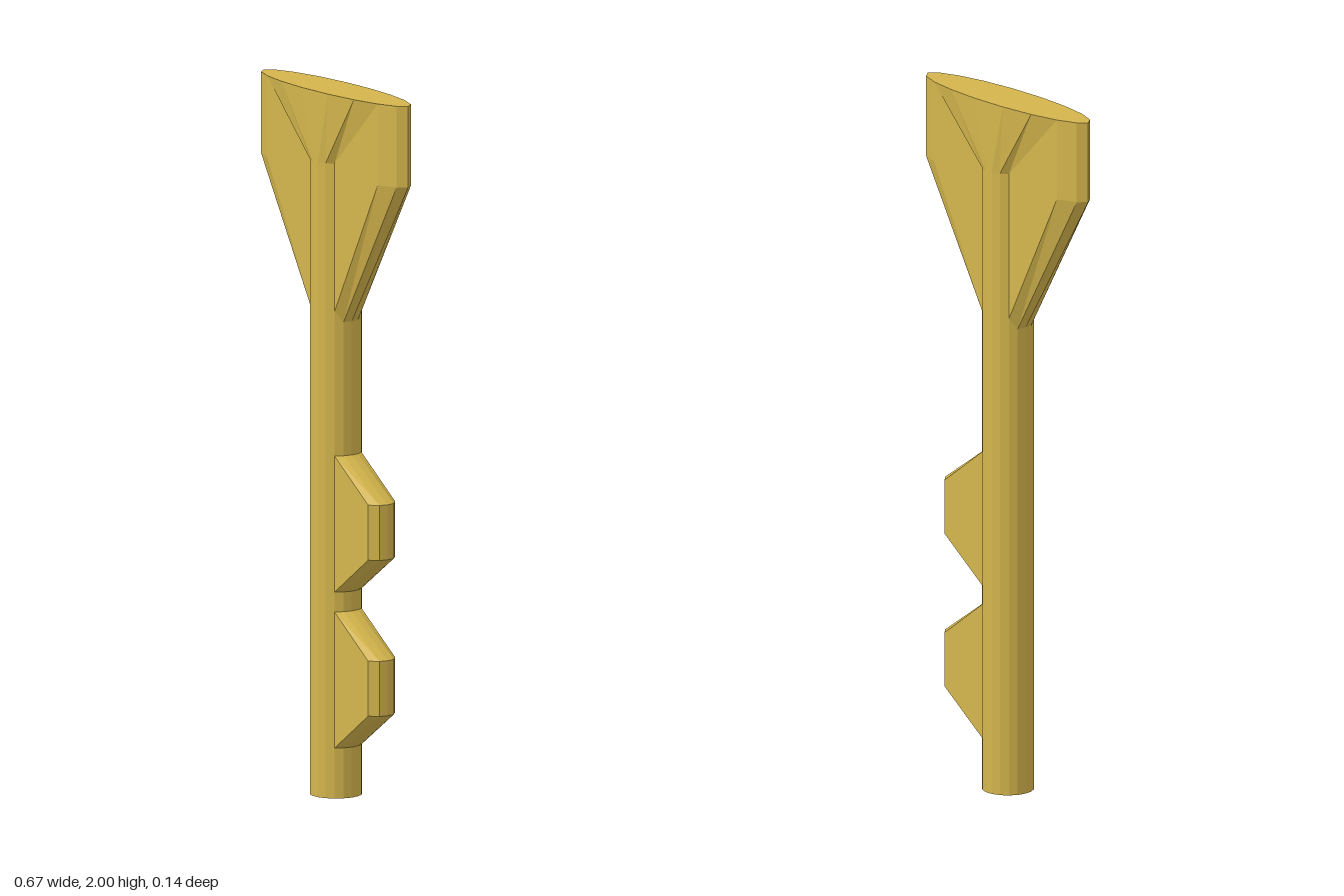
import * as THREE from 'three';

const brass = new THREE.MeshStandardMaterial({ color: 0xd4b54c, flatShading: true });
brass.name = 'brass';

const R = 0.073, SIDES = 18;
const HEAD_X = 0.335;
const STEP = (Math.PI * 2) / SIDES;

// Collects triangles, leaving out collapsed ones
function makeGeometry(triangles) {
  const pos = [];
  for (const [a, b, c] of triangles) {
    const area = b.clone().sub(a).cross(c.clone().sub(a)).length();
    if (area > 1e-8) for (const p of [a, b, c]) pos.push(p.x, p.y, p.z);
  }
  const geo = new THREE.BufferGeometry();
  geo.setAttribute('position', new THREE.Float32BufferAttribute(pos, 3));
  geo.computeVertexNormals();
  return geo;
}

// Skins columns of points (each listed from bottom to top)
function skin(columns, closed) {
  const tris = [];
  const n = columns.length;
  for (let i = 0; i < (closed ? n : n - 1); i++) {
    const p = columns[i], q = columns[(i + 1) % n];
    for (let j = 0; j < p.length - 1; j++) {
      tris.push([p[j], p[j + 1], q[j + 1]], [p[j], q[j + 1], q[j]]);
    }
  }
  return tris;
}

function part(name, geo) {
  const mesh = new THREE.Mesh(geo, brass);
  mesh.name = name;
  return mesh;
}

// Flared head: oval top, flat side wings and a round core running down into the shaft
function headGeometry() {
  const V = (x, y, z) => new THREE.Vector3(x, y, z);
  const quarter = [];
  for (let k = 0; k < 5; k++) {
    const c = Math.cos(k * STEP), z = R * Math.sin(k * STEP);
    const top = V(HEAD_X * c, 2, z);
    const lowY = k < 2 ? 1.35 : 1.38;
    const low = V(R * c, lowY, z);
    const base = V(R * c, 1.35, z);
    const wing = V(HEAD_X * c, 1.77, z);
    const core = V(R * c, 1.8, z);
    if (k <= 2) quarter.push([base, low, wing, top]);
    // the wing meets the core along the third column
    if (k >= 2) quarter.push([base, low, core, top]);
  }
  const mirror = (cols, sx, sz) =>
    cols.map((col) => col.map((p) => V(p.x * sx, p.y, p.z * sz)));
  const inner = quarter.slice(1);
  const ring = [
    ...quarter,
    ...mirror(quarter, -1, 1).reverse(),
    ...mirror(inner, -1, -1),
    ...mirror(inner, 1, -1).reverse(),
  ];
  const tris = skin(ring, true);
  // top cap
  const centre = V(0, 2, 0);
  ring.forEach((col, i) => {
    tris.push([centre, ring[(i + 1) % ring.length][3], col[3]]);
  });
  return makeGeometry(tris);
}

// Tooth: trapezoid with a bevelled outer rim, standing on the shaft's facets
function toothGeometry() {
  const reach = [0.24, 0.235, 0.212];
  const columns = [];
  for (let k = -2; k <= 2; k++) {
    const x = R * Math.cos(k * STEP), z = R * Math.sin(k * STEP);
    const out = reach[Math.abs(k)];
    columns.push([[x, -0.193], [out, -0.078], [out, 0.078], [x, 0.193]]
      .map(([px, py]) => new THREE.Vector3(px, py, z)));
  }
  const tris = skin(columns, false);
  const [a, b, c, d] = columns[4];
  const [e, f, g, h] = columns[0];
  tris.push([a, b, c], [a, c, d], [e, g, f], [e, h, g]);
  return makeGeometry(tris);
}

export function createModel() {
  const model = new THREE.Group();
  model.name = 'key';

  const shaft = new THREE.CylinderGeometry(R, R, 1.35, SIDES);
  shaft.rotateY(STEP / 2).translate(0, 0.675, 0);
  model.add(part('shaft', shaft));
  model.add(part('head', headGeometry()));

  const tooth = toothGeometry();
  [['lowerTooth', 0.336], ['upperTooth', 0.778]].forEach(([name, y]) => {
    const mesh = part(name, tooth);
    mesh.position.y = y;
    model.add(mesh);
  });
  return model;
}
